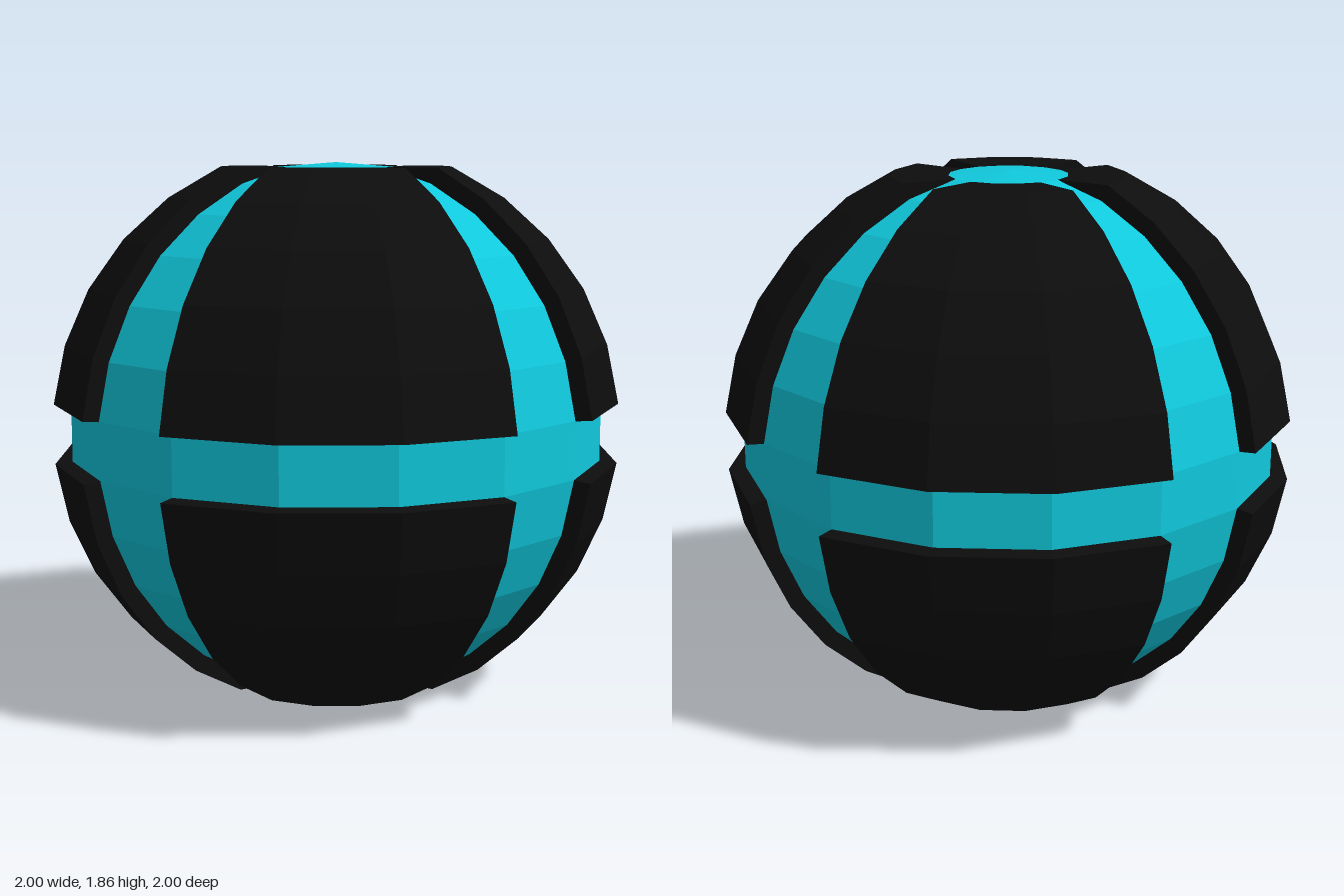
import * as THREE from 'three';

const RAD = Math.PI / 180;
const CENTRE_Y = 0.922;

// Points on a circle at polar angles (degrees from the top pole)
const arc = (radius, angles) =>
  angles.map((a) => new THREE.Vector2(radius * Math.sin(a * RAD), radius * Math.cos(a * RAD)));

const range = (from, to, step) => {
  const out = [];
  for (let a = from; step > 0 ? a <= to : a >= to; a += step) out.push(a);
  return out;
};

export function createModel() {
  const model = new THREE.Group();
  model.name = 'panelledBall';
  const cyan = new THREE.MeshStandardMaterial({ color: 0x10c8dc, flatShading: true });
  const black = new THREE.MeshStandardMaterial({ color: 0x0d0d0d, flatShading: true, side: THREE.DoubleSide });

  // Recessed core: visible in the grooves, the belt and the polar discs
  const coreProfile = [
    new THREE.Vector2(0, -0.922),
    new THREE.Vector2(0.208, -0.916),
    ...arc(0.945, range(156, 24, -12)),
    new THREE.Vector2(0.208, 0.916),
    new THREE.Vector2(0, 0.933),
  ];
  const core = new THREE.Mesh(new THREE.LatheGeometry(coreProfile, 16), cyan);
  core.name = 'core';
  core.position.y = CENTRE_Y;
  model.add(core);

  // Cross-section of one upper panel: outer skin up, inner skin back down
  const section = [
    ...arc(1.005, range(84, 24, -12)),
    new THREE.Vector2(0.208, 0.917),
    ...arc(0.94, range(24, 84, 12)),
  ];
  const closed = [...section, section[0].clone()];
  const sweep = 67.5 * RAD;
  const shell = new THREE.LatheGeometry(closed, 3, 0, sweep);
  const wall = new THREE.ShapeGeometry(new THREE.Shape(section));

  // Four panels per half, each three facets wide with a one-facet groove between
  const makeHalf = (name) => {
    const half = new THREE.Group();
    half.name = name;
    for (let i = 0; i < 4; i++) {
      const panel = new THREE.Group();
      panel.name = 'panel' + (i + 1);
      panel.rotation.y = (67.5 + i * 90) * RAD;
      const skin = new THREE.Mesh(shell, black);
      skin.name = 'panelShell';
      panel.add(skin);
      for (const phi of [0, sweep]) {
        const side = new THREE.Mesh(wall, black);
        side.name = 'panelSideWall';
        side.rotation.y = phi - Math.PI / 2;
        panel.add(side);
      }
      half.add(panel);
    }
    half.position.y = CENTRE_Y;
    model.add(half);
    return half;
  };
  makeHalf('upperPanels');
  makeHalf('lowerPanels').scale.y = -1;

  return model;
}
